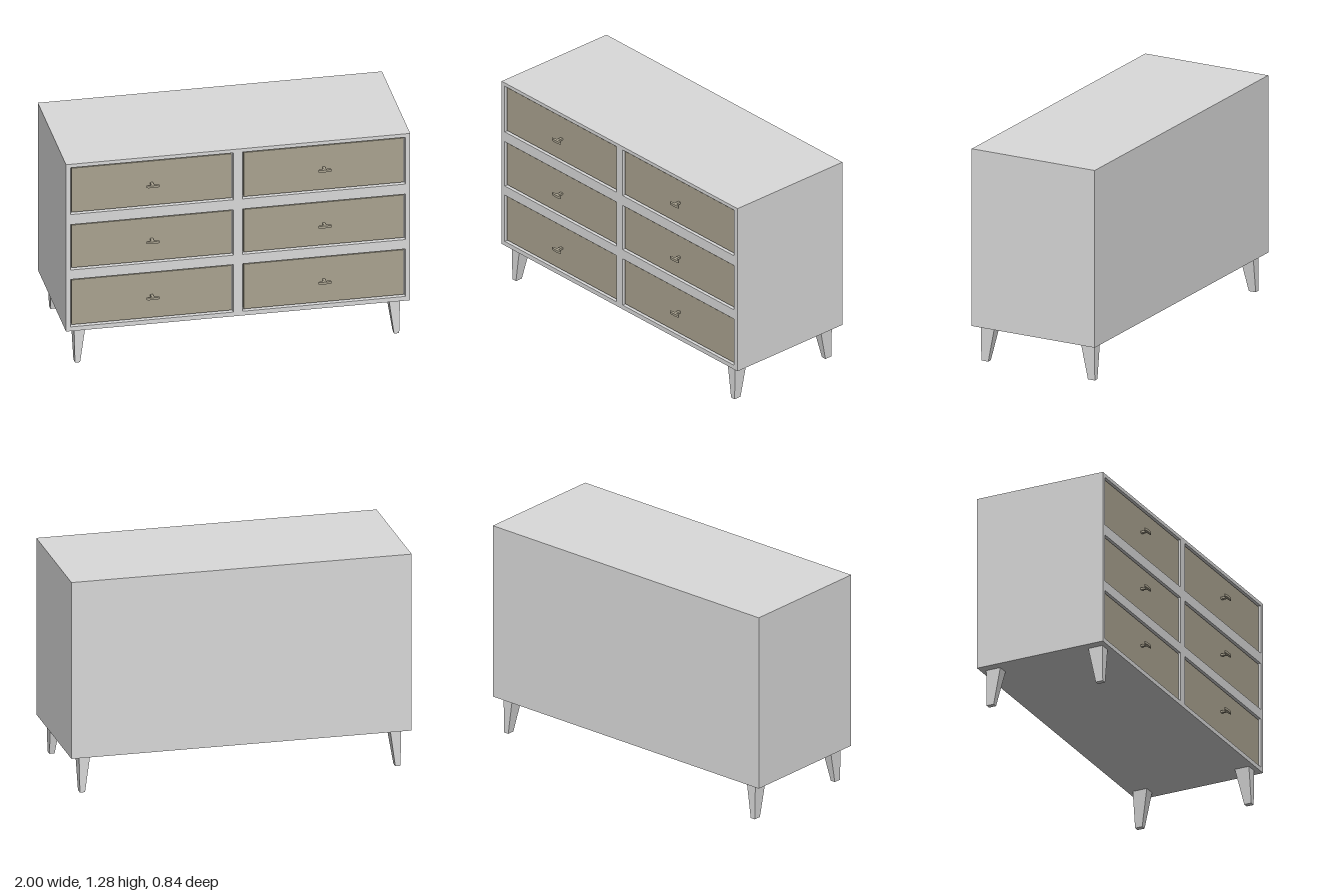
import * as THREE from 'three';

const FRONT = 0.385, BACK = -0.42, BOTTOM = 0.218, TOP = 1.28;
const FRAME = 0.03; // depth of the front frame
const COLUMNS = [[-0.974, -0.028], [0.026, 0.972]];
const ROWS = [[0.245, 0.547], [0.607, 0.896], [0.96, 1.258]];
const HANDLE_Y = [0.395, 0.752, 1.108];

// Adds a rectangle, from corner to corner, to a shape or path
function rect(path, x0, y0, x1, y1) {
  path.moveTo(x0, y0);
  path.lineTo(x1, y0);
  path.lineTo(x1, y1);
  path.lineTo(x0, y1);
  path.closePath();
  return path;
}

function box(name, material, x0, x1, y0, y1, z0, z1) {
  const mesh = new THREE.Mesh(new THREE.BoxGeometry(x1 - x0, y1 - y0, z1 - z0), material);
  mesh.position.set((x0 + x1) / 2, (y0 + y1) / 2, (z0 + z1) / 2);
  mesh.name = name;
  return mesh;
}

// Leg with straight outer faces, tapering on the inner ones
function leg(name, material, sx, sz, outerZ) {
  const geometry = new THREE.BoxGeometry(1, 1, 1);
  const p = geometry.attributes.position;
  for (let i = 0; i < p.count; i++) {
    const top = p.getY(i) > 0;
    const outX = p.getX(i) * sx > 0, outZ = p.getZ(i) * sz > 0;
    const x = outX ? (top ? 0.947 : 0.942) : (top ? 0.882 : 0.912);
    const z = outZ ? outerZ : outerZ - (top ? 0.09 : 0.045);
    p.setXYZ(i, sx * x, top ? BOTTOM : 0, sz * z);
  }
  geometry.computeVertexNormals();
  const mesh = new THREE.Mesh(geometry, material);
  mesh.name = name;
  return mesh;
}

// Flat oval pull on a short stem
function handle(material, x, y) {
  const group = new THREE.Group();
  group.name = 'handle';
  const pull = new THREE.Mesh(new THREE.CylinderGeometry(1, 1, 0.014, 24), material);
  pull.scale.set(0.038, 1, 0.008);
  pull.position.set(x, y, 0.416);
  pull.name = 'handlePull';
  group.add(pull, box('handleStem', material, x - 0.008, x + 0.008, y - 0.006, y + 0.006, 0.37, 0.414));
  return group;
}

export function createModel() {
  const model = new THREE.Group();
  model.name = 'dresser';
  const body = new THREE.MeshStandardMaterial({ color: 0xdadada });
  body.name = 'pale grey paint';
  const drawerMaterial = new THREE.MeshStandardMaterial({ color: 0xaaa390 });
  drawerMaterial.name = 'taupe drawer';

  // Cabinet
  model.add(box('cabinet', body, -1, 1, BOTTOM, TOP, BACK, FRONT - FRAME));

  // Front frame with one opening per drawer
  const shape = rect(new THREE.Shape(), -1, BOTTOM, 1, TOP);
  for (const [x0, x1] of COLUMNS)
    for (const [y0, y1] of ROWS) shape.holes.push(rect(new THREE.Path(), x0, y0, x1, y1));
  const frame = new THREE.Mesh(
    new THREE.ExtrudeGeometry(shape, { depth: FRAME, bevelEnabled: false }), body);
  frame.position.z = FRONT - FRAME;
  frame.name = 'frontFrame';
  model.add(frame);

  // Drawers, slightly recessed, with handles
  const gap = 0.009;
  for (const [x0, x1] of COLUMNS) {
    ROWS.forEach(([y0, y1], i) => {
      model.add(box('drawer', drawerMaterial, x0 + gap, x1 - gap, y0 + gap, y1 - gap,
        FRONT - FRAME, FRONT - 0.01));
      model.add(handle(drawerMaterial, (x0 + x1) / 2, HANDLE_Y[i]));
    });
  }

  // Legs
  for (const sx of [-1, 1]) {
    model.add(leg('frontLeg', body, sx, 1, 0.355));
    model.add(leg('backLeg', body, sx, -1, 0.388));
  }
  return model;
}
